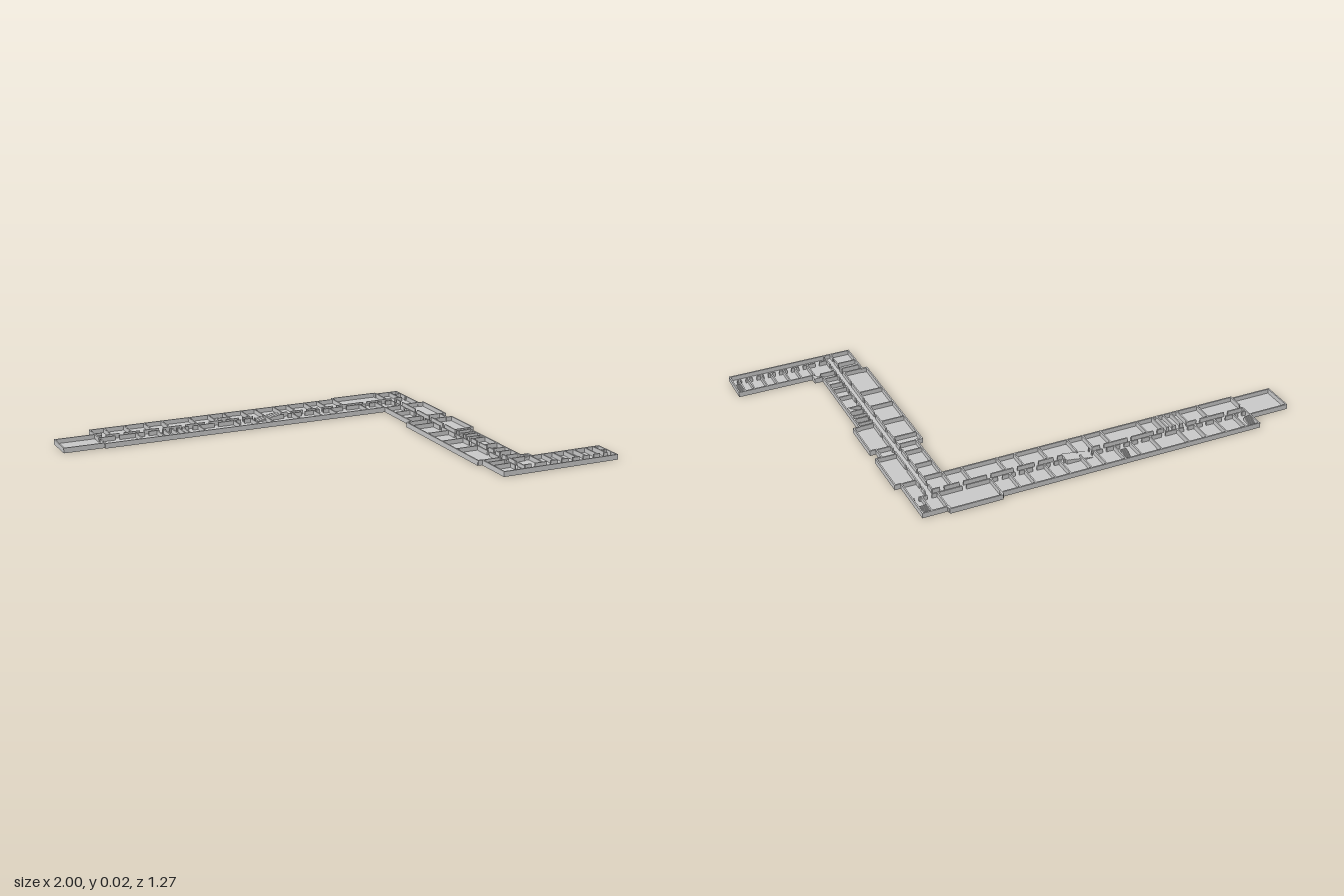
import * as THREE from 'three';
import { mergeGeometries } from 'three/addons/utils/BufferGeometryUtils.js';

const H = 0.022, FLOOR = 0.003, T = 0.006, DOOR = 0.018;

// outer footprint, [x, z] corners in order
const OUTLINE = [
  [-1, -.545], [-.825, -.545], [-.825, -.618], [.32, -.618], [.32, -.635], [.54, -.635],
  [.54, -.618], [.645, -.618], [.645, -.405], [.67, -.405], [.67, -.2], [.645, -.2],
  [.645, -.145], [.67, -.145], [.67, .04], [.645, .04], [.645, .465], [.68, .465],
  [.68, .495], [1, .495], [1, .635], [.465, .635], [.465, .465], [.445, .465],
  [.445, -.145], [.47, -.145], [.47, -.395], [-.825, -.395], [-.825, -.405], [-1, -.405],
];

export function createModel() {
  const group = new THREE.Group();
  const material = new THREE.MeshStandardMaterial({ color: 0xcccccc, flatShading: true });
  const add = (name, geometry) => {
    const mesh = new THREE.Mesh(geometry, material);
    mesh.name = name;
    group.add(mesh);
  };

  // box from plan corners, standing between two heights
  const block = (x0, z0, x1, z1, y0 = FLOOR, y1 = H) =>
    new THREE.BoxGeometry(x1 - x0, y1 - y0, z1 - z0)
      .translate((x0 + x1) / 2, (y0 + y1) / 2, (z0 + z1) / 2);
  const wallX = (z, x0, x1) => block(x0, z - T / 2, x1, z + T / 2);
  const wallZ = (x, z0, z1) => block(x - T / 2, z0, x + T / 2, z1);

  // wall split at the given stops, with one doorway in the middle of each bay
  const doorWall = (wall, at, stops) => stops.slice(1).flatMap((end, i) => {
    const start = stops[i], mid = (start + end) / 2;
    const gap = Math.min(DOOR, (end - start) * 0.5) / 2;
    return [wall(at, start, mid - gap), wall(at, mid + gap, end)];
  });

  // plan extruded between two heights
  const points = (plan) => plan.map(([x, z]) => new THREE.Vector2(x, z));
  const extrudePlan = (shape, y0, y1) =>
    new THREE.ExtrudeGeometry(shape, { depth: y1 - y0, bevelEnabled: false })
      .rotateX(Math.PI / 2).translate(0, y1, 0);

  // footprint moved inwards by the wall thickness
  const n = OUTLINE.length;
  const inset = OUTLINE.map(([x, z], i) => {
    const [px, pz] = OUTLINE[(i + n - 1) % n], [nx, nz] = OUTLINE[(i + 1) % n];
    const dx = -Math.sign(z - pz) - Math.sign(nz - z);
    const dz = Math.sign(x - px) + Math.sign(nx - x);
    return [x + dx * T, z + dz * T];
  });

  add('floor', extrudePlan(new THREE.Shape(points(OUTLINE)), 0, FLOOR));
  const shell = new THREE.Shape(points(OUTLINE));
  shell.holes.push(new THREE.Path(points(inset)));
  add('outerWall', extrudePlan(shell, FLOOR, H));

  // room dividers of the long wing, north and south of its corridor
  const north = [-.76, -.67, -.58, -.5, -.375, -.285, -.215, -.13, -.065, .025, .09, .175, .24, .32, .54, .605];
  const south = [-.66, -.565, -.535, -.5, -.47, -.45, -.38, -.215, -.135, -.065, .06, .165, .24, .39, .47];
  const corridorN = -.515, corridorS = -.487;
  add('longWingDividers', mergeGeometries([
    ...north.map((x) => wallZ(x, x > .31 && x < .55 ? -.63 : -.615, corridorN)),
    ...south.map((x) => wallZ(x, corridorS, -.395)),
  ]));
  add('longWingCorridorWalls', mergeGeometries([
    ...doorWall(wallX, corridorN, [-.825, ...north.filter((x) => x < -.12), -.115]),
    ...doorWall(wallX, corridorN, [0, ...north.filter((x) => x > 0), .645]),
    ...doorWall(wallX, corridorS, [-.825, ...south.filter((x) => x < -.12), -.115]),
    ...doorWall(wallX, corridorS, [0, ...south.filter((x) => x > 0), .55]),
  ]));
  add('annexWall', mergeGeometries(doorWall(wallZ, -.822, [-.545, -.405])));

  // room dividers of the cross wing, west and east of its corridor
  const west = [-.395, -.305, -.205, -.145, -.09, .04, .165, .285, .465, .5, .545];
  const east = [-.405, -.205, -.145, .04, .065, .1, .125, .16, .19, .285, .35, .395, .45, .495];
  const corridorW = .55, corridorE = .58;
  add('crossWingDividers', mergeGeometries([
    ...west.map((z) => wallX(z, z > -.15 && z < .47 ? .447 : .47, corridorW)),
    ...east.map((z) => wallX(z, corridorE, .645)),
  ]));
  add('crossWingCorridorWalls', mergeGeometries([
    ...doorWall(wallZ, corridorW, [corridorS, ...west, .635]),
    ...doorWall(wallZ, corridorE, [corridorS, ...east, .59, .635]),
  ]));

  // short wing: small rooms along one corridor
  const cells = [.67, .725, .775, .83, .875, .93, .97];
  add('shortWingDividers', mergeGeometries(cells.map((x) => wallZ(x, .495, .59))));
  add('shortWingCorridorWall', mergeGeometries(doorWall(wallX, .59, [corridorE, ...cells, 1])));

  // flights of steps: plan corners and whether they climb along x
  const flights = [
    [-.819, -.595, -.79, -.55, false], [-.25, -.595, -.218, -.55, false],
    [-.115, -.53, 0, -.48, true], [.608, -.61, .64, -.57, false],
    [.592, .16, .637, .19, true], [.628, .465, .674, .492, true],
    [.97, .5, .994, .56, false],
  ];
  const STEPS = 10;
  const stairs = flights.flatMap(([x0, z0, x1, z1, alongX]) =>
    Array.from({ length: STEPS }, (_, i) => {
      const a = i / STEPS, b = (i + 1) / STEPS, top = FLOOR + (H - FLOOR) * b;
      const mix = THREE.MathUtils.lerp;
      return alongX
        ? block(mix(x0, x1, a), z0, mix(x0, x1, b), z1, FLOOR, top)
        : block(x0, mix(z0, z1, a), x1, mix(z0, z1, b), FLOOR, top);
    }));
  add('stairs', mergeGeometries(stairs));

  return group;
}
